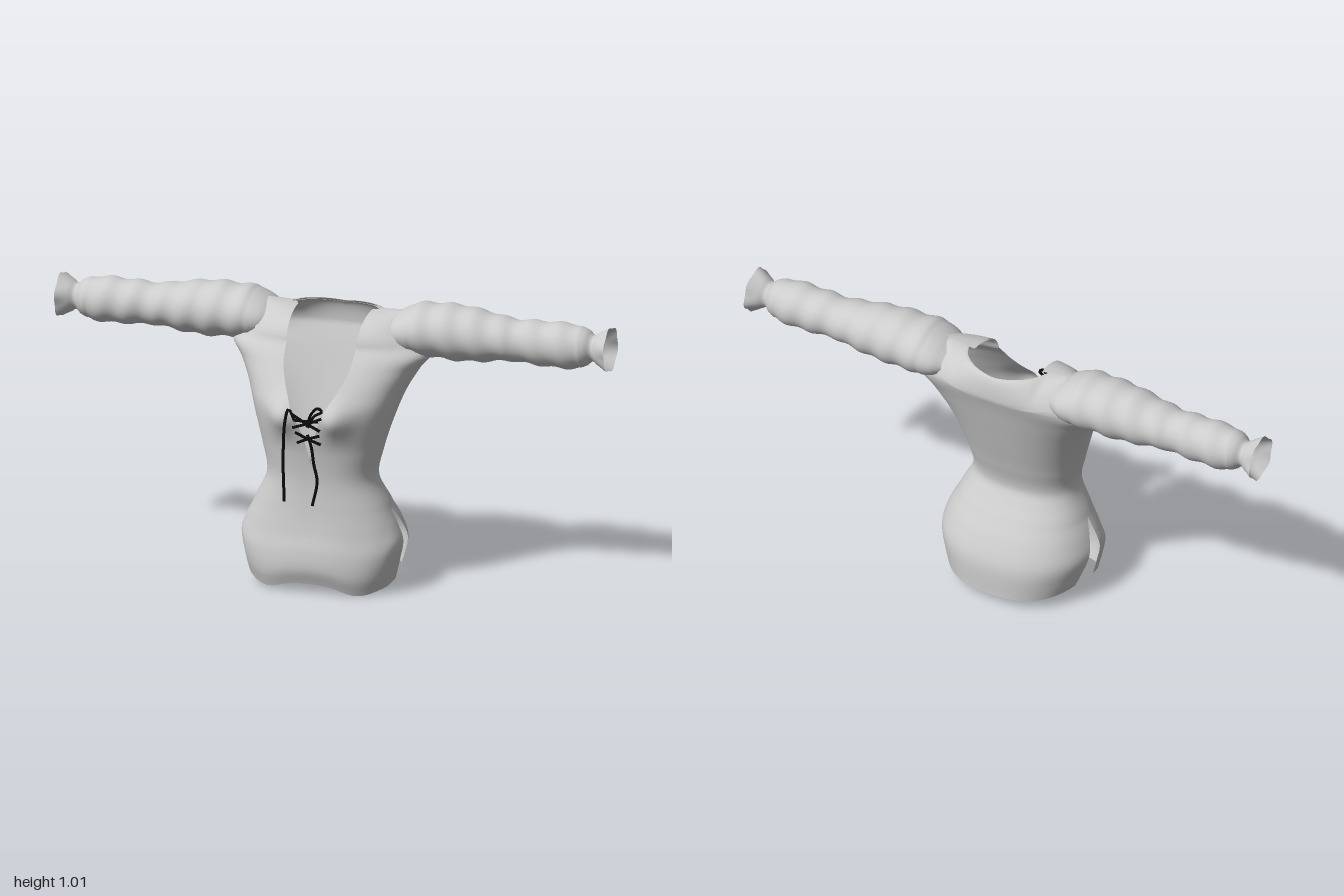
import * as THREE from 'three';
import { mergeVertices } from 'three/addons/utils/BufferGeometryUtils.js';

// Smooth interpolation through [position, value] pairs
function ramp(pts) {
  const n = pts.length - 1;
  const slope = i => {
    const a = pts[Math.max(0, i - 1)], b = pts[Math.min(n, i + 1)];
    return (b[1] - a[1]) / (b[0] - a[0]);
  };
  return v => {
    if (v <= pts[0][0]) return pts[0][1];
    if (v >= pts[n][0]) return pts[n][1];
    let i = 0;
    while (v > pts[i + 1][0]) i++;
    const h = pts[i + 1][0] - pts[i][0], t = (v - pts[i][0]) / h, t2 = t * t, t3 = t2 * t;
    return (2 * t3 - 3 * t2 + 1) * pts[i][1] + (t3 - 2 * t2 + t) * h * slope(i)
      + (3 * t2 - 2 * t3) * pts[i + 1][1] + (t3 - t2) * h * slope(i + 1);
  };
}

// Surface from a rule f(u, v) -> [x, y, z], with u and v in 0..1
function sheet(f, nu, nv) {
  const pos = [], idx = [];
  for (let j = 0; j <= nv; j++)
    for (let i = 0; i <= nu; i++) pos.push(...f(i / nu, j / nv));
  for (let j = 0; j < nv; j++)
    for (let i = 0; i < nu; i++) {
      const a = j * (nu + 1) + i, b = a + nu + 1;
      idx.push(a, a + 1, b, b, a + 1, b + 1);
    }
  let g = new THREE.BufferGeometry();
  g.setAttribute('position', new THREE.Float32BufferAttribute(pos, 3));
  g.setIndex(idx);
  g = mergeVertices(g, 1e-5);
  g.computeVertexNormals();
  return g;
}

// Body outline by height: half width, front, back and side depth
const SHOULDER = 0.86, AXIS_Z = -0.115, SLIT = 0.29;
const halfWidth = ramp([[0, 0.262], [0.05, 0.275], [0.14, 0.29], [0.22, 0.272], [0.3, 0.24], [0.4, 0.197],
  [0.5, 0.214], [0.6, 0.242], [0.7, 0.277], [0.78, 0.322], [0.83, 0.36], [0.86, 0.34], [0.92, 0.28], [1, 0.255]]);
const frontZ = ramp([[0, 0.165], [0.06, 0.183], [0.13, 0.18], [0.2, 0.165], [0.3, 0.152], [0.4, 0.147],
  [0.5, 0.157], [0.58, 0.172], [0.66, 0.175], [0.72, 0.145], [0.8, 0.09], [0.86, 0.042]]);
const backZ = ramp([[0, -0.247], [0.13, -0.242], [0.22, -0.21], [0.3, -0.165], [0.35, -0.13], [0.4, -0.105],
  [0.5, -0.127], [0.6, -0.157], [0.7, -0.187], [0.8, -0.217], [0.86, -0.238]]);
const sideZ = ramp([[0, 0.012], [0.3, 0.01], [0.45, 0.015], [0.6, -0.01], [0.75, -0.07], [0.86, -0.11]]);
const neckGap = ramp([[0.46, 0], [0.55, 0.018], [0.62, 0.04], [0.68, 0.068], [0.74, 0.1], [0.8, 0.122], [0.88, 0.128], [1, 0.135]]);
const panelEdge = ramp([[0.24, 0], [0.3, 0.045], [0.42, 0.083], [0.52, 0.09], [0.6, 0.115], [0.67, 0.16],
  [0.78, 0.215], [0.87, 0.255], [1, 0.245]]);

const xAt = (v, a) => halfWidth(v) * Math.pow(Math.sin(a), 0.8);
const angleAt = (v, x) => Math.asin(Math.min(1, Math.pow(Math.max(0, x) / halfWidth(v), 1.25)));

// Point on the body: v = height (the shoulder folds over above SHOULDER),
// a = angle from the middle line (0) to the side (90 degrees)
function bodyPoint(v, a, side, isFront, lift = 0) {
  const base = Math.min(v, SHOULDER), x = xAt(v, a), c = sideZ(base);
  let z = c + ((isFront ? frontZ(base) : backZ(base)) - c) * Math.pow(Math.max(0, Math.cos(a)), 0.9);
  let y = v;
  if (isFront) z += 0.034 * Math.exp(-(((x - 0.095) / 0.055) ** 2) - ((v - 0.635) / 0.06) ** 2);
  z += (isFront ? lift : -lift);
  if (v > SHOULDER) {
    const s = (v - SHOULDER) / (1 - SHOULDER) * Math.PI / 2;
    const open = isFront ? 0 : 0.82 * Math.sqrt(Math.max(0, 1 - (x / 0.155) ** 2));
    z = AXIS_Z + (z - AXIS_Z) * (1 + (open - 1) * (1 - Math.cos(s)));
    y = SHOULDER + (0.086 + 0.09 * x + lift - SHOULDER + 0.855) * Math.sin(s);
  }
  // Wavy hem
  if (v < SLIT) {
    const hem = isFront ? 0.035 - 0.035 * Math.exp(-(((x - 0.17) / 0.08) ** 2)) + (x > 0.25 ? (x - 0.25) * 0.9 : 0)
      + (side < 0 ? 0.015 * Math.sin(a) : 0) : 0.035 + 0.03 * Math.sin(a) ** 3;
    y = hem + v * (SLIT - hem) / SLIT;
  }
  return [side * x, y, z];
}

function sleevePoint(u, t, side) {
  const x = 0.215 + t * 0.785, a = u * Math.PI * 2;
  const fold = 0.0035 * Math.sin(x * 62 + 1.2 * Math.sin(a)) * (x < 0.9 && x > 0.3 ? 1 : 0);
  const frill = x > 0.96 ? 0.005 * Math.sin(a * 6) * (x - 0.96) / 0.04 : 0;
  const ry = sleeveRY(x) + fold + frill, rz = sleeveRZ(x) + fold + frill;
  return [side * x, sleeveY(x) + ry * Math.sin(a), -0.12 + rz * Math.cos(a)];
}
const sleeveRY = ramp([[0.215, 0.05], [0.25, 0.07], [0.3, 0.088], [0.37, 0.093], [0.45, 0.096], [0.54, 0.088], [0.63, 0.074],
  [0.66, 0.073], [0.74, 0.077], [0.84, 0.079], [0.89, 0.073], [0.92, 0.061], [0.94, 0.045], [0.96, 0.057], [1, 0.078]]);
const sleeveRZ = ramp([[0.215, 0.09], [0.25, 0.112], [0.3, 0.12], [0.37, 0.115], [0.45, 0.108], [0.54, 0.097], [0.63, 0.085],
  [0.66, 0.079], [0.74, 0.08], [0.84, 0.079], [0.89, 0.073], [0.92, 0.061], [0.94, 0.045], [0.96, 0.057], [1, 0.08]]);
const sleeveY = ramp([[0.215, 0.9], [0.35, 0.907], [0.6, 0.9], [0.8, 0.897], [1, 0.898]]);

export function createModel() {
  const model = new THREE.Group();
  model.name = 'lacedBlouse';
  const cloth = new THREE.MeshStandardMaterial({ color: 0xcccccc, side: THREE.DoubleSide });
  cloth.name = 'light grey cloth';
  const cord = new THREE.MeshStandardMaterial({ color: 0x0c0c0c });
  cord.name = 'black cord';
  const add = (name, geometry, material = cloth) => {
    const mesh = new THREE.Mesh(geometry, material);
    mesh.name = name;
    model.add(mesh);
  };
  const mix = THREE.MathUtils.lerp, H = Math.PI / 2;

  for (const side of [1, -1]) {
    const label = side > 0 ? 'left' : 'right';
    // Front half, open along the neckline
    add(label + 'FrontBody', sheet((u, v) =>
      bodyPoint(v, mix(angleAt(v, neckGap(v)), H, u), side, true), 26, 100));
    // Raised front panel, from its point at the belly up to the shoulder
    add(label + 'NeckPanel', sheet((u, t) => {
      const v = mix(0.24, 1, t);
      return bodyPoint(v, angleAt(v, mix(neckGap(v), panelEdge(v), u)), side, true, 0.006);
    }, 12, 70));
    // Sleeve with soft folds and a flared cuff
    add(label + 'Sleeve', sheet((u, t) => sleevePoint(u, t, side), 36, 110));
  }

  // Back, cut away at the sides to leave the hip slits
  add('backBody', sheet((u, v) => {
    const s = u * 2 - 1;
    const slit = v < SLIT ? 0.36 * Math.pow(1 - v / SLIT, 0.7) : 0;
    return bodyPoint(v, Math.abs(s) * (H - slit), s < 0 ? -1 : 1, false);
  }, 60, 100));
  // Yoke around the back of the neck
  add('backYoke', sheet((u, t) => {
    const s = u * 2 - 1, v = mix(0.85 + 0.03 * s * s, 1, t);
    return bodyPoint(v, angleAt(v, Math.abs(s) * 0.235), s < 0 ? -1 : 1, false, 0.005);
  }, 40, 16));

  // Cords: hanging ends, crossings and bow loops
  const cords = {
    rightHangingCord: [[-0.045, 0.63, 0.195], [-0.06, 0.675, 0.212], [-0.064, 0.64, 0.238], [-0.07, 0.5, 0.24], [-0.066, 0.35, 0.24]],
    leftHangingCord: [[0, 0.58, 0.185], [0.018, 0.54, 0.197], [0.028, 0.48, 0.2], [0.04, 0.42, 0.2], [0.022, 0.33, 0.198]],
    upperCrossingCord: [[-0.055, 0.655, 0.2], [-0.01, 0.625, 0.19], [0.05, 0.6, 0.198]],
    upperCrossingCord2: [[0.06, 0.65, 0.205], [0.01, 0.625, 0.19], [-0.05, 0.605, 0.198]],
    straightCord: [[-0.045, 0.632, 0.197], [0, 0.63, 0.192], [0.045, 0.635, 0.198]],
    lowerCrossingCord: [[-0.045, 0.585, 0.185], [0, 0.565, 0.185], [0.045, 0.545, 0.175]],
    lowerCrossingCord2: [[0.045, 0.58, 0.185], [0, 0.565, 0.187], [-0.04, 0.545, 0.175]],
    bowLoop: [[0, 0.61, 0.19], [0.018, 0.66, 0.2], [0.045, 0.686, 0.208], [0.06, 0.675, 0.208], [0.03, 0.655, 0.203], [0.005, 0.61, 0.192]],
  };
  for (const [name, pts] of Object.entries(cords)) {
    const curve = new THREE.CatmullRomCurve3(pts.map(p => new THREE.Vector3(...p)));
    add(name, new THREE.TubeGeometry(curve, 28, 0.0052, 6), cord);
  }
  return model;
}
